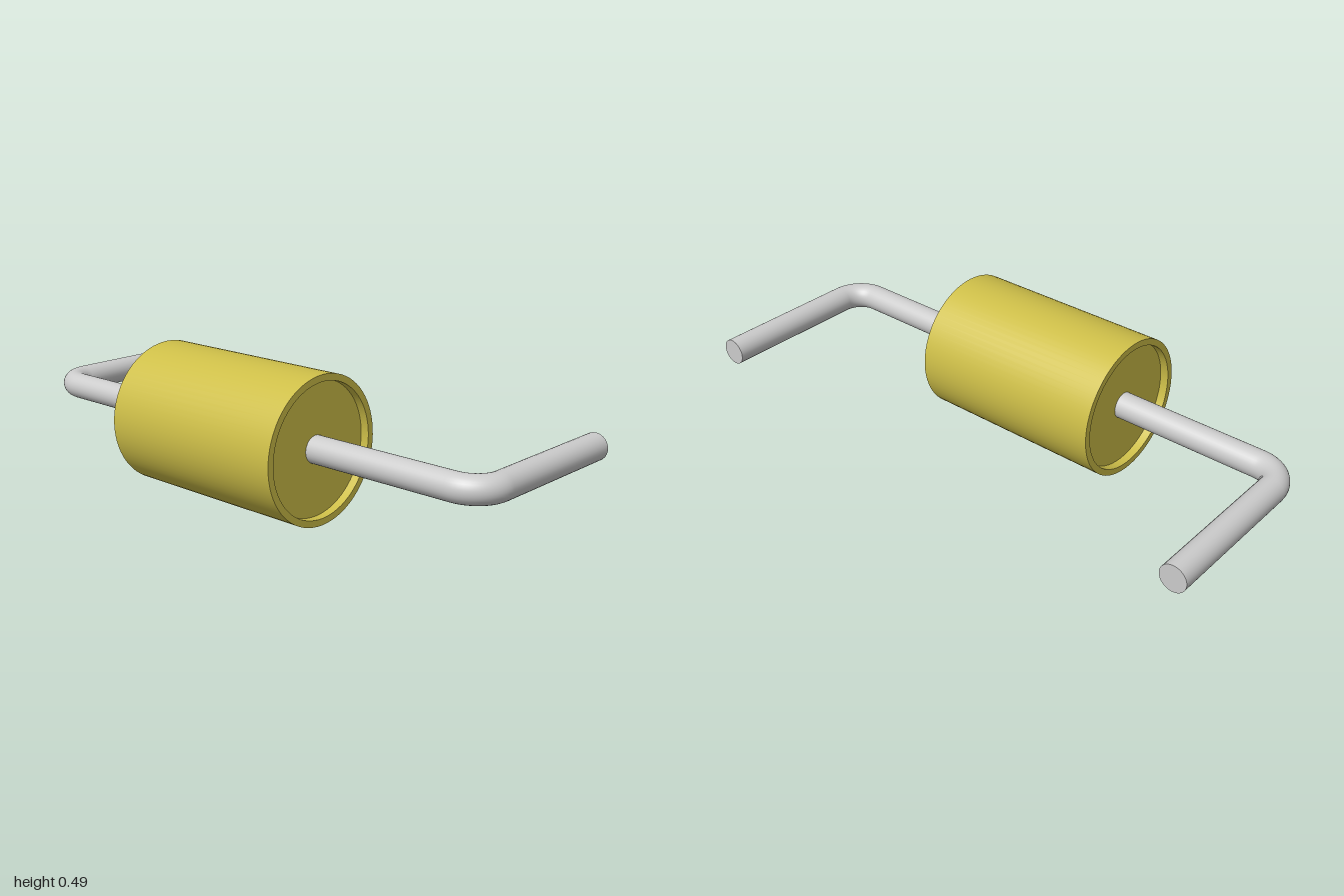
import * as THREE from 'three';
import { toCreasedNormals } from 'three/addons/utils/BufferGeometryUtils.js';

const AXIS_Y = 0.248, AXIS_Z = 0.19;
const BODY_R = 0.247, RECESS_R = 0.224, HALF = 0.36, RECESS_X = 0.33;
const WIRE_R = 0.0465, WIRE_X = 1 - WIRE_R, WIRE_END = -0.437, BEND = 0.095;

const yellow = new THREE.MeshStandardMaterial({ color: 0xcdbe48 });
const grey = new THREE.MeshStandardMaterial({ color: 0xcccccc });

// Cylinder along x with a shallow recess in each end
function createBody() {
  const profile = [
    [0, -RECESS_X], [RECESS_R, -RECESS_X], [RECESS_R, -HALF], [BODY_R, -HALF],
    [BODY_R, HALF], [RECESS_R, HALF], [RECESS_R, RECESS_X], [0, RECESS_X],
  ].map(([r, y]) => new THREE.Vector2(r, y));
  const geometry = toCreasedNormals(new THREE.LatheGeometry(profile, 72), 0.6);
  geometry.rotateZ(-Math.PI / 2);
  const body = new THREE.Mesh(geometry, yellow);
  body.name = 'body';
  body.position.set(0, AXIS_Y, AXIS_Z);
  return body;
}

// Wire leaving one end and bending round to the back
function createLead(side) {
  const p = (x, z) => new THREE.Vector3(side * x, AXIS_Y, z);
  const k = BEND * (1 - 0.5523);
  const bendStart = p(WIRE_X - BEND, AXIS_Z);
  const bendEnd = p(WIRE_X, AXIS_Z - BEND);
  const path = new THREE.CurvePath();
  path.add(new THREE.LineCurve3(p(RECESS_X - 0.01, AXIS_Z), bendStart));
  path.add(new THREE.CubicBezierCurve3(bendStart, p(WIRE_X - k, AXIS_Z), p(WIRE_X, AXIS_Z - k), bendEnd));
  path.add(new THREE.LineCurve3(bendEnd, p(WIRE_X, WIRE_END)));

  const lead = new THREE.Group();
  lead.name = side > 0 ? 'leftLead' : 'rightLead';
  const wire = new THREE.Mesh(new THREE.TubeGeometry(path, 110, WIRE_R, 32), grey);
  wire.name = 'wire';
  const cap = new THREE.Mesh(new THREE.CircleGeometry(WIRE_R, 32), grey);
  cap.name = 'wireEnd';
  cap.rotation.y = Math.PI;
  cap.position.copy(p(WIRE_X, WIRE_END));
  lead.add(wire, cap);
  return lead;
}

export function createModel() {
  const model = new THREE.Group();
  model.name = 'axialComponent';
  model.add(createBody(), createLead(1), createLead(-1));
  return model;
}
